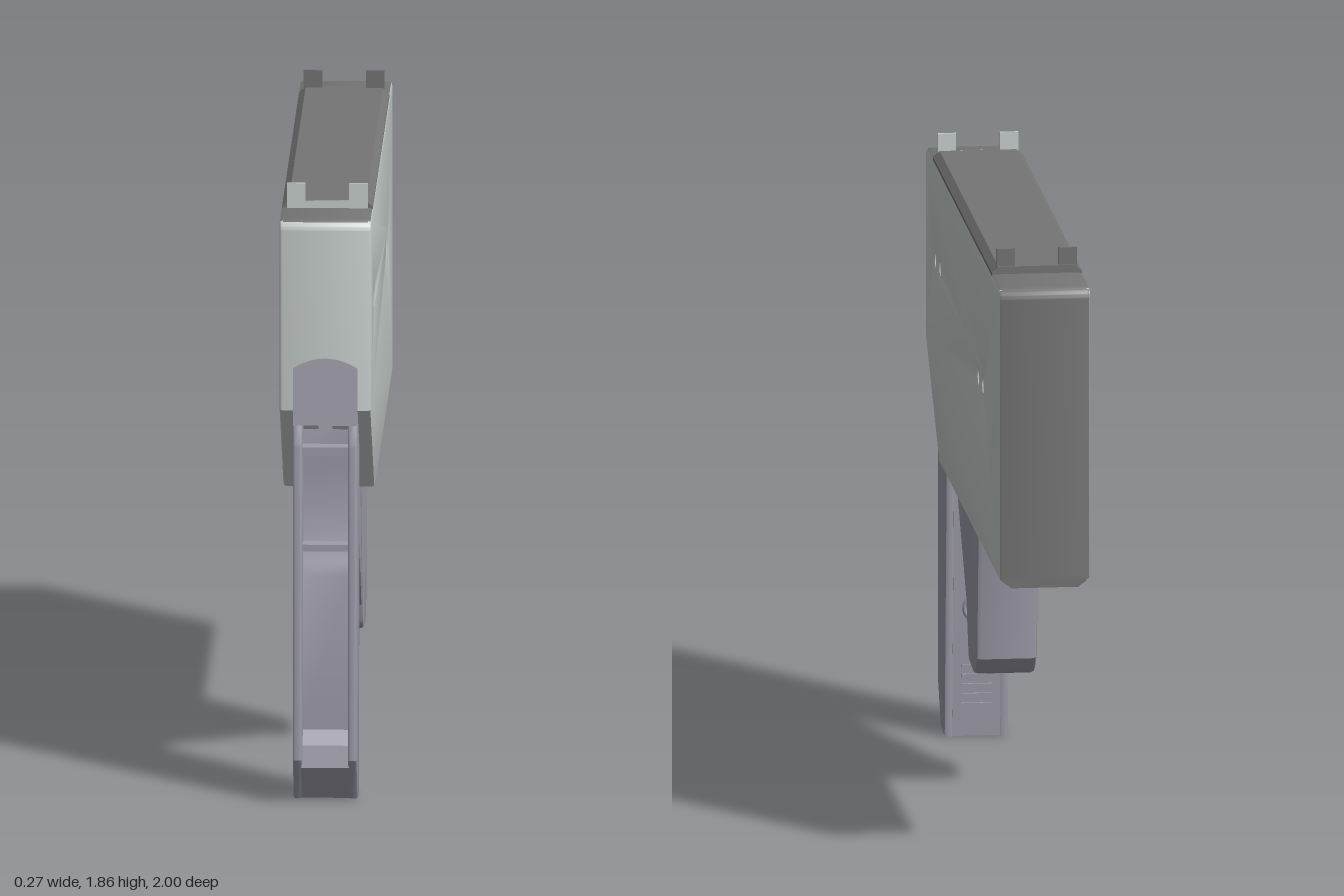
import * as THREE from 'three';
import { toCreasedNormals } from 'three/addons/utils/BufferGeometryUtils.js';

const material = (name, color) => {
  const m = new THREE.MeshStandardMaterial({ color });
  m.name = name;
  return m;
};

export function createModel() {
  const light = material('pale grey shell', 0xc9d0ce);
  const dark = material('dark grey cover', 0x757575);
  const gripMat = material('grip lavender grey', 0x9e9dab);
  const model = new THREE.Group();

  const add = (name, geometry, mat, parent = model) => {
    const mesh = new THREE.Mesh(geometry, mat);
    mesh.name = name;
    parent.add(mesh);
    return mesh;
  };
  const box = (name, w, h, d, x, y, z, mat, parent) => {
    const mesh = add(name, new THREE.BoxGeometry(w, h, d), mat, parent);
    mesh.position.set(x, y, z);
    return mesh;
  };
  const polygon = pts => new THREE.Shape(pts.map(p => new THREE.Vector2(...p)));

  // Side profile (z, y) extruded across x from x0 to x1, with a chamfer on its rims
  const slab = (shape, x0, x1, bevel = 0) => {
    const g = new THREE.ExtrudeGeometry(shape, {
      depth: x1 - x0 - 2 * bevel, bevelEnabled: bevel > 0, bevelThickness: bevel,
      bevelSize: bevel, bevelOffset: -bevel, bevelSegments: 2, curveSegments: 8,
    });
    g.rotateY(-Math.PI / 2).translate(x1 - bevel, 0, 0);
    return toCreasedNormals(g, 0.45);
  };

  // Body with rounded upper corners and through holes
  const r = 0.035;
  const body = new THREE.Shape();
  body.moveTo(0.6, 0.89);
  body.lineTo(0.96, 1.2);
  body.lineTo(0.96, 1.78 - r);
  body.absarc(0.96 - r, 1.78 - r, r, 0, Math.PI / 2, false);
  body.lineTo(-1 + r, 1.78);
  body.absarc(-1 + r, 1.78 - r, r, Math.PI / 2, Math.PI, false);
  body.lineTo(-1, 0.89);
  for (const [z, y] of [[0.71, 1.49], [0.59, 1.49], [-0.43, 1.39], [-0.55, 1.39]]) {
    const hole = new THREE.Path();
    hole.absarc(z, y, 0.025, 0, Math.PI * 2, true);
    body.holes.push(hole);
  }
  const bodyGeometry = slab(body, -0.137, 0.137, 0.01);
  // Top and back faces take the dark colour
  bodyGeometry.clearGroups();
  const pos = bodyGeometry.attributes.position;
  const a = new THREE.Vector3(), b = new THREE.Vector3(), c = new THREE.Vector3();
  const tri = new THREE.Triangle(a, b, c), n = new THREE.Vector3();
  for (let i = 0; i < pos.count; i += 3) {
    a.fromBufferAttribute(pos, i);
    b.fromBufferAttribute(pos, i + 1);
    c.fromBufferAttribute(pos, i + 2);
    tri.getNormal(n);
    const isTop = n.y > 0.8 && a.y > 1.74;
    const isBack = n.z < -0.5 && a.z < -0.95;
    bodyGeometry.addGroup(i, 3, isTop || isBack ? 1 : 0);
  }
  add('body', bodyGeometry, [light, dark]);

  // Top and bottom covers: chamfered strips along z
  const strip = (name, pts, z0, z1) => {
    const g = new THREE.ExtrudeGeometry(polygon(pts), { depth: z1 - z0, bevelEnabled: false });
    add(name, g.translate(0, 0, z0), dark);
  };
  strip('topCover', [[-0.135, 1.77], [0.135, 1.77], [0.135, 1.785], [0.115, 1.803], [-0.115, 1.803], [-0.135, 1.785]], -0.79, 0.78);
  strip('bottomCover', [[-0.1, 0.867], [0.1, 0.867], [0.125, 0.885], [0.125, 0.9], [-0.125, 0.9], [-0.125, 0.885]], -1, -0.13);
  box('coverFrontEdge', 0.23, 0.024, 0.006, 0, 1.79, 0.782, light);
  for (const s of [-1, 1]) {
    box('frontTab', 0.055, 0.085, 0.01, s * 0.093, 1.813, 0.782, light);
    box('rearTab', 0.055, 0.085, 0.01, s * 0.093, 1.813, -0.778, dark);
  }

  // Front grip: two side rails around a recessed core
  const frontGrip = new THREE.Group();
  frontGrip.name = 'frontGrip';
  model.add(frontGrip);
  const rail = polygon([[0.83, 0], [0.92, 0.008], [1, 0.14], [1, 1.1], [0.985, 1.16],
    [0.94, 1.3], [0.8, 1.3], [0.75, 1.15], [0.765, 1.0]]);
  for (const s of [-1, 1]) {
    add('gripRail', slab(rail, s > 0 ? 0.068 : -0.096, s > 0 ? 0.096 : -0.068, 0.007), gripMat, frontGrip);
  }
  const core = new THREE.Shape();
  core.moveTo(0.83, 0.002);
  core.lineTo(0.92, 0.01);
  core.lineTo(0.985, 0.115);
  core.lineTo(0.97, 0.18);
  core.lineTo(0.93, 0.22);
  core.lineTo(0.93, 0.69);
  core.quadraticCurveTo(0.86, 0.85, 0.88, 1.08);
  core.lineTo(0.85, 1.25);
  core.lineTo(0.76, 1.2);
  core.lineTo(0.762, 1.0);
  add('gripCore', slab(core, -0.072, 0.072), gripMat, frontGrip);
  for (const [y, h] of [[1.08, 0.025], [0.785, 0.02]]) {
    box('gripCrossbar', 0.145, h, 0.05, 0, y, 0.955, gripMat, frontGrip);
  }

  // Arched plate over the top of the front grip, leaning into the body
  const arch = new THREE.Shape();
  arch.moveTo(-0.096, 1.16);
  arch.lineTo(-0.02, 1.16);
  arch.lineTo(-0.02, 1.14);
  arch.lineTo(0.02, 1.14);
  arch.lineTo(0.02, 1.16);
  arch.lineTo(0.096, 1.16);
  arch.lineTo(0.096, 1.33);
  arch.quadraticCurveTo(0, 1.39, -0.096, 1.33);
  const archGeometry = new THREE.ExtrudeGeometry(arch, { depth: 0.08, bevelEnabled: false, curveSegments: 12 });
  const ap = archGeometry.attributes.position;
  for (let i = 0; i < ap.count; i++) {
    ap.setZ(i, ap.getZ(i) + 0.885 + (1.36 - ap.getY(i)) * 0.11);
  }
  archGeometry.computeVertexNormals();
  add('gripTopPlate', archGeometry, gripMat, frontGrip);

  // Fittings on the back of the front grip
  const fittings = new THREE.Group();
  fittings.name = 'gripBackFittings';
  fittings.position.set(0, 0, 0.83);
  fittings.rotation.x = -0.067;
  frontGrip.add(fittings);
  for (const y of [0.84, 0.4]) {
    const ring = add('screwRing', new THREE.TorusGeometry(0.038, 0.007, 8, 28), gripMat, fittings);
    ring.position.set(0, y, -0.003);
    const head = add('screwHead', new THREE.CylinderGeometry(0.02, 0.02, 0.016, 6), gripMat, fittings);
    head.rotation.x = Math.PI / 2;
    head.position.set(0, y, -0.003);
  }
  const capsule = (path, rad) => {
    path.absarc(0, 0.035, rad, 0, Math.PI, false);
    path.absarc(0, -0.035, rad, Math.PI, Math.PI * 2, false);
    path.closePath();
    return path;
  };
  const slot = capsule(new THREE.Shape(), 0.042);
  slot.holes.push(capsule(new THREE.Path(), 0.034));
  const slotRing = add('slotRim', new THREE.ExtrudeGeometry(slot, { depth: 0.01, bevelEnabled: false }), gripMat, fittings);
  slotRing.position.set(0, 0.61, -0.006);
  for (let i = 0; i < 5; i++) {
    box('gripRib', 0.09, 0.01, 0.01, 0, 0.1 + i * 0.03, -0.001, gripMat, fittings);
  }

  // Rear grip with blunt rounded foot
  const rearGrip = new THREE.Group();
  rearGrip.name = 'rearGrip';
  model.add(rearGrip);
  const handle = new THREE.Shape();
  handle.moveTo(-0.035, 0.95);
  handle.lineTo(0.015, 0.42);
  handle.lineTo(0.06, 0.372);
  handle.quadraticCurveTo(0.08, 0.357, 0.12, 0.358);
  handle.lineTo(0.19, 0.366);
  handle.quadraticCurveTo(0.22, 0.37, 0.232, 0.4);
  handle.lineTo(0.255, 0.46);
  handle.lineTo(0.42, 0.95);
  add('rearHandle', slab(handle, -0.092, 0.092, 0.014), gripMat, rearGrip);

  // Sloping brace: side walls with a recessed web between them
  const wall = polygon([[0.25, 0.45], [0.78, 1.04], [0.7, 1.04], [0.4, 0.93], [0.23, 0.5]]);
  for (const s of [-1, 1]) {
    add('braceWall', slab(wall, s > 0 ? 0.066 : -0.086, s > 0 ? 0.086 : -0.066, 0.005), gripMat, rearGrip);
  }
  const web = polygon([[0.23, 0.46], [0.74, 1.03], [0.4, 0.95], [0.22, 0.5]]);
  add('braceWeb', slab(web, -0.07, 0.07), gripMat, rearGrip);
  const catchBlock = box('braceCatch', 0.08, 0.07, 0.05, 0, 0.55, 0.325, gripMat, rearGrip);
  catchBlock.rotation.x = 0.73;

  return model;
}
